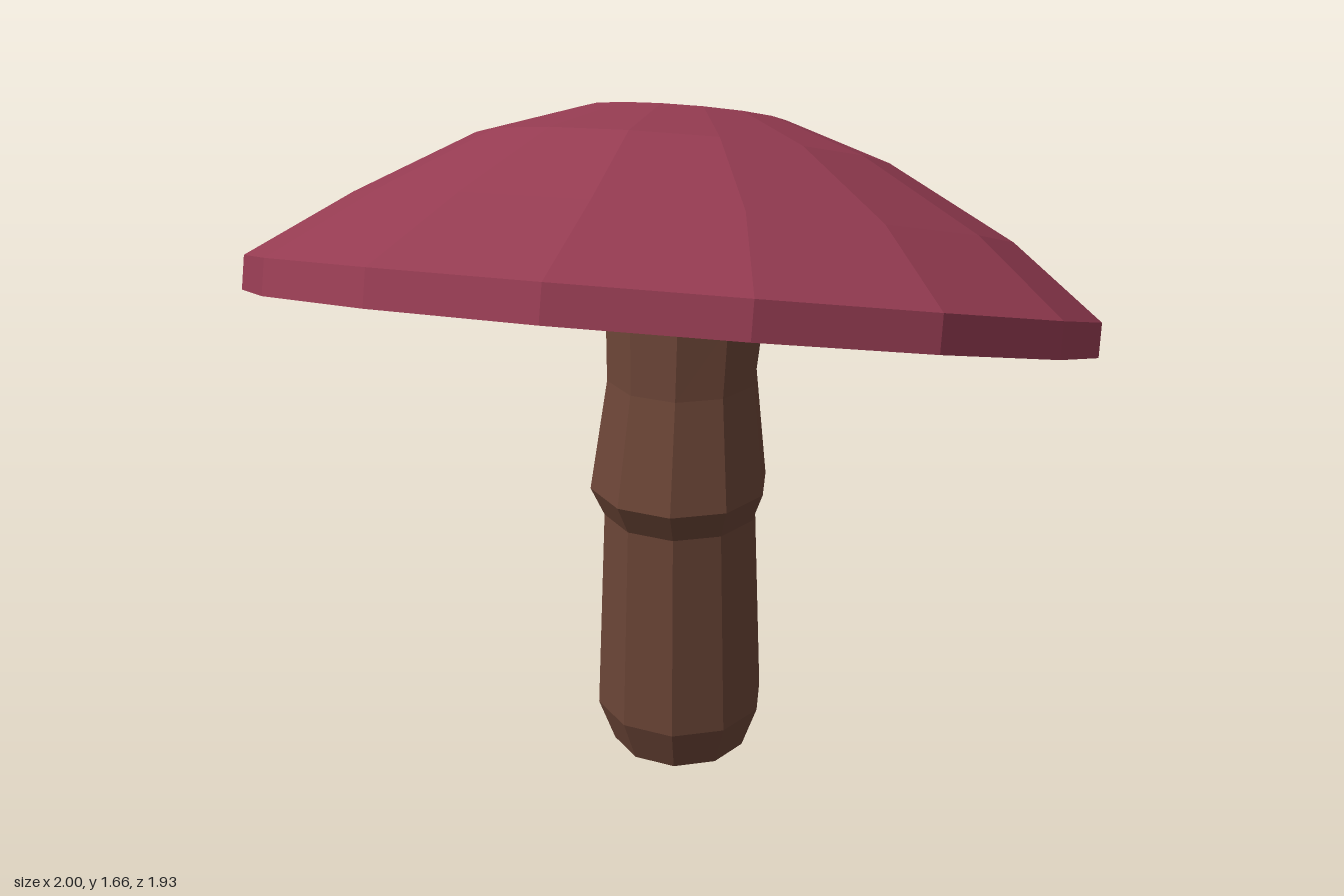
import * as THREE from 'three';

// Skins a stack of polygon rings into a faceted surface.
// Each ring is { r, y, x, z, slope }: radius, centre and rise towards the front.
function loft(rings, sides, turn = 0) {
  const point = ({ r, y, x = 0, z = 0, slope = 0 }, i) => {
    const a = turn + (i / sides) * Math.PI * 2;
    return [x + r * Math.sin(a), y + r * Math.cos(a) * slope, z + r * Math.cos(a)];
  };
  const positions = [];
  for (let k = 0; k < rings.length - 1; k++) {
    const low = rings[k], high = rings[k + 1];
    for (let i = 0; i < sides; i++) {
      const a = point(low, i), b = point(low, i + 1);
      const c = point(high, i + 1), d = point(high, i);
      // a ring closing to a point needs just one triangle per side
      if (low.r > 0) positions.push(...a, ...b, ...c);
      if (high.r > 0) positions.push(...a, ...c, ...d);
    }
  }
  const geometry = new THREE.BufferGeometry();
  geometry.setAttribute('position', new THREE.Float32BufferAttribute(positions, 3));
  geometry.computeVertexNormals();
  return geometry;
}

function material(name, color) {
  const m = new THREE.MeshStandardMaterial({ color });
  m.name = name;
  return m;
}

function part(name, geometry, mat) {
  const mesh = new THREE.Mesh(geometry, mat);
  mesh.name = name;
  return mesh;
}

export function createModel() {
  const model = new THREE.Group();
  model.name = 'mushroom';
  const capRed = material('cap red', 0x963c52);
  const stemBrown = material('stem brown', 0x6a4436);

  // Stem: bevelled foot, collar halfway, then a bend and flare into the cap
  const x = 0.033;
  model.add(part('stem', loft([
    { r: 0, y: 0, x, z: 0.035 },
    { r: 0.173, y: 0, x, z: 0.035 },
    { r: 0.213, y: 0.115, x, z: 0.038 },
    { r: 0.191, y: 0.645, x, z: 0.038 },
    { r: 0.22, y: 0.725, x, z: 0.053 },
    { r: 0.185, y: 0.99, x, z: 0.02 },
    { r: 0.193, y: 1.12, x, z: -0.005, slope: 0.29 },
    { r: 0.285, y: 1.31, x, z: -0.05, slope: 0.325 },
    { r: 0, y: 1.31, x, z: -0.05 },
  ], 10, Math.PI / 20), stemBrown));

  // Cap: tilted up at the front, with a dimpled crown
  const cap = new THREE.Group();
  cap.name = 'cap';
  cap.position.set(0, 1.12, 0.0125);
  cap.rotation.x = -0.315;
  cap.add(part('capTop', loft([
    { r: 1, y: 0 },
    { r: 1, y: 0.08 },
    { r: 0.785, y: 0.247, z: -0.057 },
    { r: 0.49, y: 0.406 },
    { r: 0.242, y: 0.49 },
    { r: 0, y: 0.43 },
  ], 16), capRed));

  // Underside: flat outer band around a conical hollow
  cap.add(part('capUnderside', loft([
    { r: 0, y: 0.2 },
    { r: 0.2, y: 0.2 },
    { r: 0.6, y: 0 },
    { r: 1, y: 0 },
  ], 16), capRed));
  model.add(cap);

  return model;
}
